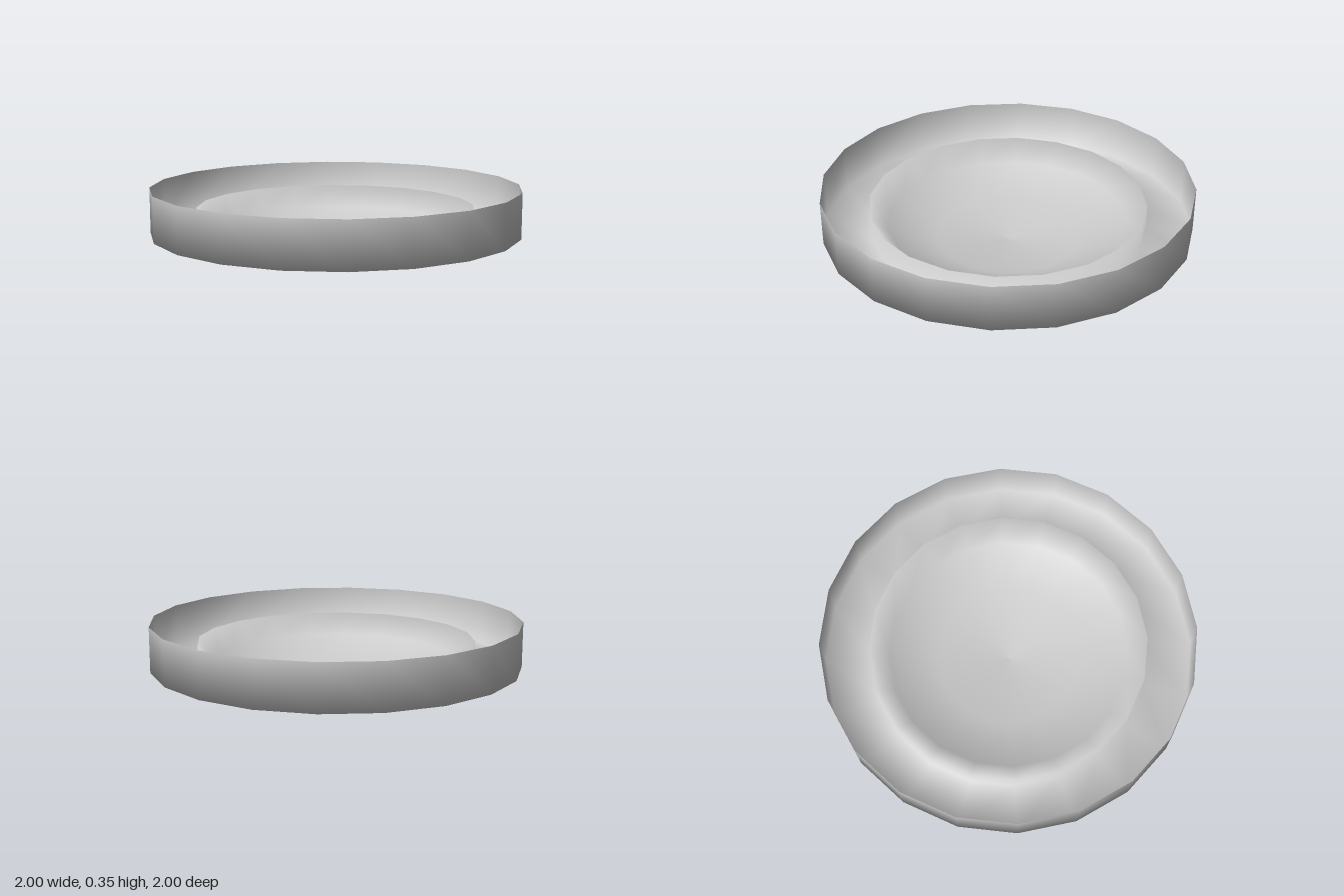
import * as THREE from 'three';

export function createModel() {
  const group = new THREE.Group();
  const material = new THREE.MeshStandardMaterial({ color: 0xcccccc, side: THREE.DoubleSide });

  // One thin sheet turned about y: shallow dish, raised inner rim,
  // flat trough floor and tall outer wall.
  const profile = [
    [0, 0], [0.39, 0.035], [0.65, 0.133], [0.75, 0.245],
    [0.75, 0.11], [1, 0.11], [1, 0.355],
  ].map(([r, y]) => new THREE.Vector2(r, y));

  const basin = new THREE.Mesh(new THREE.LatheGeometry(profile, 20), material);
  basin.name = 'dishWithTrough';
  group.add(basin);
  return group;
}
